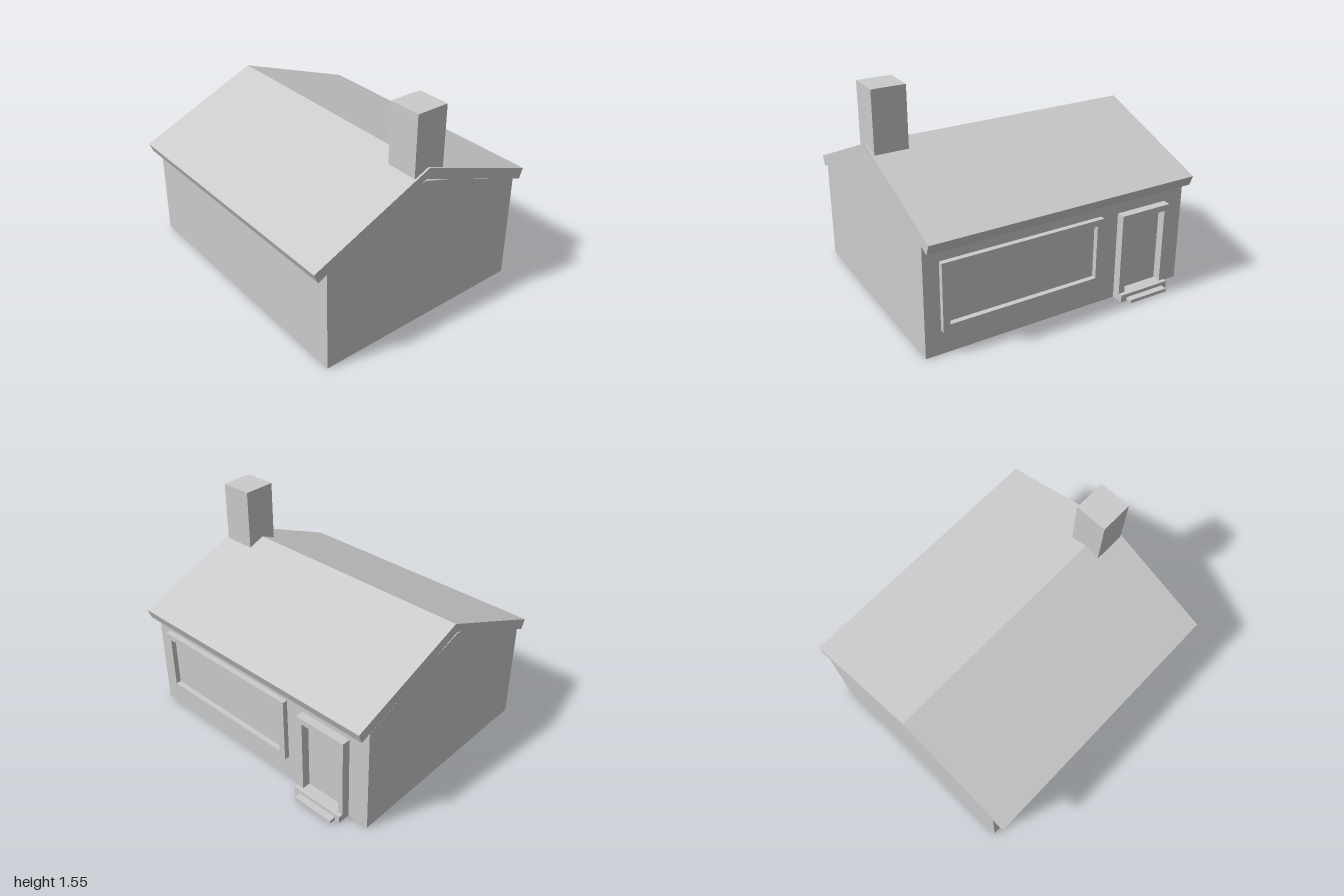
import * as THREE from 'three';

const WALL_X = 0.78;
const material = new THREE.MeshStandardMaterial({ color: 0xcccccc, flatShading: true });

function polygon(points) {
  return new THREE.Shape(points.map(([x, y]) => new THREE.Vector2(x, y)));
}

function rectangle(x0, x1, y0, y1) {
  return [[x0, y0], [x1, y0], [x1, y1], [x0, y1]];
}

export function createModel() {
  const model = new THREE.Group();
  model.name = 'house';

  function add(name, geometry, parent = model) {
    const mesh = new THREE.Mesh(geometry, material);
    mesh.name = name;
    parent.add(mesh);
    return mesh;
  }

  // Gable profile swept along the full length of the house
  function addProfile(name, points) {
    const geometry = new THREE.ExtrudeGeometry(polygon(points), { depth: 2, bevelEnabled: false });
    add(name, geometry.translate(0, 0, -1));
  }

  function addBox(name, [x0, x1], [y0, y1], [z0, z1], parent) {
    const geometry = new THREE.BoxGeometry(x1 - x0, y1 - y0, z1 - z0);
    add(name, geometry.translate((x0 + x1) / 2, (y0 + y1) / 2, (z0 + z1) / 2), parent);
  }

  // Frame on the +x wall: outer and inner limits given as [z0, z1, y0, y1]
  function addFrame(name, outer, inner, depth, parent) {
    const flip = ([z0, z1, y0, y1]) => rectangle(-z1, -z0, y0, y1);
    const shape = polygon(flip(outer));
    shape.holes.push(polygon(flip(inner)));
    const geometry = new THREE.ExtrudeGeometry(shape, { depth, bevelEnabled: false });
    add(name, geometry.rotateY(Math.PI / 2).translate(WALL_X, 0, 0), parent);
  }

  // Walls, whose peak stops just short of the roof and leaves a thin slit
  addProfile('walls', [
    [-0.825, 0], [WALL_X, 0], [WALL_X, 0.781], [0.16, 1.009],
    [-0.06, 1.077], [-0.1, 1.067], [-0.825, 0.73],
  ]);

  // Lopsided roof slab with square-cut eaves
  addProfile('roof', [
    [-0.92, 0.77], [-0.89, 0.70], [-0.055, 1.088],
    [0.85, 0.757], [0.878, 0.83], [-0.03, 1.159],
  ]);

  addBox('chimney', [-0.143, 0.095], [1.113, 1.548], [0.748, 0.986]);

  addFrame('windowFrame', [-0.305, 0.89, 0.175, 0.655], [-0.253, 0.843, 0.222, 0.61], 0.037);

  // Doorway with sill and step
  const doorway = new THREE.Group();
  doorway.name = 'doorway';
  model.add(doorway);
  addFrame('doorFrame', [-0.843, -0.445, 0.0, 0.643], [-0.803, -0.493, 0.053, 0.6], 0.06, doorway);
  addBox('doorSill', [WALL_X, 0.87], [0, 0.053], [-0.843, -0.445], doorway);
  addBox('doorStep', [0.87, 0.917], [0.003, 0.027], [-0.805, -0.493], doorway);

  return model;
}
